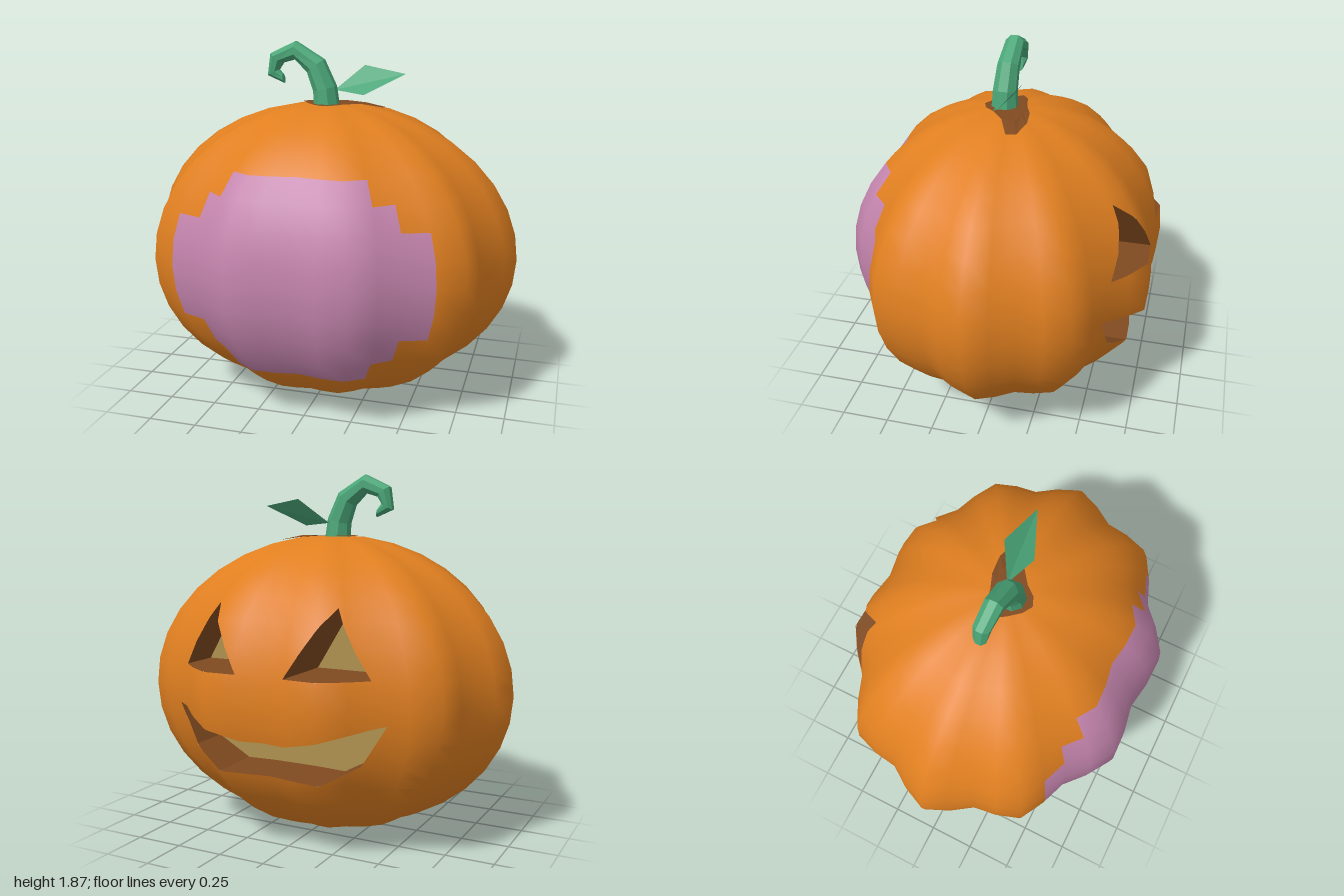
import * as THREE from 'three';

const mat = (name, color, opts = {}) => {
  const m = new THREE.MeshStandardMaterial({ color, ...opts });
  m.name = name;
  return m;
};

const LON = 40, LAT = 18, MID = 0.785;
// One horizontal cross-section: ten ridges, squashed front to back
const ring = Array.from({ length: LON }, (_, k) => {
  const r = [1, 0.957, 0.915, 0.957][k % 4], a = (k / LON) * Math.PI * 2;
  return [r * Math.cos(a), 0.83 * r * Math.sin(a)];
});
const elev = (i) => (i / LAT - 0.5) * Math.PI;
const ringY = (i) => (i === 0 ? 0.008 : i === LAT ? 1.56 : MID + MID * Math.sin(elev(i)));

// Height on the shell at a given distance from the axis (upper half)
const topY = (d) => (d < 0.174 ? 1.559 : 1.559 - (d - 0.174) * 0.21);

// z of the back of the shell at (x, y)
function backZ(x, y) {
  let i = 0;
  while (i < LAT - 1 && ringY(i + 1) < y) i++;
  const t = (y - ringY(i)) / (ringY(i + 1) - ringY(i));
  const s = THREE.MathUtils.lerp(Math.cos(elev(i)), Math.cos(elev(i + 1)), t);
  const X = x / s;
  for (let k = LON / 2; k < LON; k++) {
    const a = ring[k], b = ring[(k + 1) % LON];
    if (X >= a[0] && X <= b[0]) return s * THREE.MathUtils.lerp(a[1], b[1], (X - a[0]) / (b[0] - a[0]));
  }
  return 0;
}

// Remove a convex counter-clockwise xy outline from a polygon; returns the remaining pieces
function subtract(poly, hole) {
  const kept = [];
  for (let e = 0; e < hole.length && poly.length > 2; e++) {
    const [ax, ay] = hole[e], [bx, by] = hole[(e + 1) % hole.length];
    const side = (p) => (bx - ax) * (p[1] - ay) - (by - ay) * (p[0] - ax);
    const inside = [], outside = [];
    poly.forEach((p, n) => {
      const q = poly[(n + 1) % poly.length], sp = side(p), sq = side(q);
      (sp >= 0 ? inside : outside).push(p);
      if (sp >= 0 !== sq >= 0) {
        const m = p.map((v, c) => v + (q[c] - v) * (sp / (sp - sq)));
        inside.push(m);
        outside.push(m);
      }
    });
    if (outside.length > 2) kept.push(outside);
    poly = inside;
  }
  return kept;
}

// Triangle soup from polygons whose corners hold position and normal
function soup(polys) {
  const pos = [], nor = [];
  for (const p of polys)
    for (let n = 1; n < p.length - 1; n++)
      for (const v of [p[0], p[n], p[n + 1]]) {
        pos.push(...v.slice(0, 3));
        nor.push(...v.slice(3));
      }
  const g = new THREE.BufferGeometry();
  g.setAttribute('position', new THREE.Float32BufferAttribute(pos, 3));
  g.setAttribute('normal', new THREE.Float32BufferAttribute(nor, 3));
  return g;
}

// Flat-faced geometry from a list of corners, three per face
function faces(points) {
  const g = new THREE.BufferGeometry();
  g.setAttribute('position', new THREE.Float32BufferAttribute(points.flat(), 3));
  g.computeVertexNormals();
  return g;
}

export function createModel() {
  const group = new THREE.Group();
  const add = (name, geometry, material) => {
    const mesh = new THREE.Mesh(geometry, material);
    mesh.name = name;
    group.add(mesh);
  };
  const orange = mat('orange skin', 0xe07f20);
  const purple = mat('purple patch', 0xc585ae);
  const brown = mat('brown flesh', 0x804a20, { side: THREE.DoubleSide });
  const tan = mat('tan glow', 0xae914f, { side: THREE.DoubleSide });
  const green = mat('green stem', 0x4aa678, { flatShading: true, side: THREE.DoubleSide });

  // Carved openings: two triangular eyes and a mouth of convex strips [x, top, bottom]
  const eyes = [[[0.13, 0.93], [0.51, 0.93], [0.325, 1.25]], [[-0.51, 0.93], [-0.13, 0.93], [-0.325, 1.25]]];
  const half = [[0.12, 0.605, 0.425], [0.28, 0.64, 0.42], [0.46, 0.69, 0.52], [0.58, 0.72, 0.72]];
  const mouth = [...half.map(([x, t, b]) => [-x, t, b]).reverse(), ...half];
  const strips = mouth.slice(1).map((q, n) => {
    const p = mouth[n];
    return [[p[0], p[2]], [q[0], q[2]], [q[0], q[1]], [p[0], p[1]]]
      .filter((c, m, all) => m === 0 || c[0] !== all[m - 1][0] || c[1] !== all[m - 1][1])
      .filter((c, m, all) => m === 0 || c[0] !== all[0][0] || c[1] !== all[0][1]);
  });
  const holes = [...eyes, ...strips];

  // Ribbed shell with smooth normals
  const verts = [], index = [];
  for (let i = 0; i <= LAT; i++)
    for (const [x, z] of ring) {
      const s = i === 0 || i === LAT ? 0 : Math.cos(elev(i));
      verts.push(x * s, ringY(i), z * s);
    }
  const quad = (i, k) => {
    const k2 = (k + 1) % LON, a = i * LON + k, b = i * LON + k2, c = b + LON, d = a + LON;
    return i === 0 ? [[a, d, c]] : i === LAT - 1 ? [[a, d, b]] : [[a, d, c], [a, c, b]];
  };
  for (let i = 0; i < LAT; i++) for (let k = 0; k < LON; k++) index.push(...quad(i, k).flat());
  const shell = new THREE.BufferGeometry();
  shell.setAttribute('position', new THREE.Float32BufferAttribute(verts, 3));
  shell.setIndex(index);
  shell.computeVertexNormals();
  const P = shell.attributes.position, N = shell.attributes.normal;
  for (let k = 0; k < LON; k++) {
    N.setXYZ(k, 0, -1, 0);
    N.setXYZ(LAT * LON + k, 0, 1, 0);
  }
  const corner = (v) => [P.getX(v), P.getY(v), P.getZ(v), N.getX(v), N.getY(v), N.getZ(v)];

  // Sort shell faces into skin and stepped front patch, carving the back
  const skin = [], patch = [];
  for (let i = 0; i < LAT; i++)
    for (let k = 0; k < LON; k++) {
      const row = Math.floor(Math.abs(i + 0.5 - LAT / 2));
      const width = [5, 5, 4, 3][row] ?? 0;
      for (const tri of quad(i, k)) {
        let pieces = [tri.map(corner)];
        if (k >= LON / 2) for (const h of holes) pieces = pieces.flatMap((p) => subtract(p, h));
        (Math.abs(k + 0.5 - LON / 4) < width ? patch : skin).push(...pieces);
      }
    }
  add('pumpkinSkin', soup(skin), orange);
  add('frontPatch', soup(patch), purple);

  // Pocket walls and glowing floor behind each opening
  const DEPTH = -0.42;
  const mouthOutline = [...mouth.map(([x, , b]) => [x, b]), ...mouth.slice(1, -1).reverse().map(([x, t]) => [x, t])];
  [['rightEye', eyes[0]], ['leftEye', eyes[1]], ['mouth', mouthOutline]].forEach(([name, outline]) => {
    const walls = [];
    outline.forEach((a, n) => {
      const b = outline[(n + 1) % outline.length], STEPS = 16;
      const at = (t) => [a[0] + (b[0] - a[0]) * t, a[1] + (b[1] - a[1]) * t];
      for (let s = 0; s < STEPS; s++) {
        const p = at(s / STEPS), q = at((s + 1) / STEPS);
        const po = [...p, backZ(...p)], qo = [...q, backZ(...q)], pi = [...p, DEPTH], qi = [...q, DEPTH];
        walls.push(po, qo, qi, po, qi, pi);
      }
    });
    add(name + 'Walls', faces(walls), brown);
    const floor = new THREE.ShapeGeometry(new THREE.Shape(outline.map(([x, y]) => new THREE.Vector2(x, y))));
    add(name + 'Glow', floor.translate(0, 0, DEPTH), tan);
  });

  // Irregular brown scar draped around the stem
  const scar = [[-0.16, -0.03], [-0.12, -0.06], [-0.02, -0.08], [0.06, -0.11], [0.16, -0.12], [0.27, -0.09],
    [0.28, -0.04], [0.16, 0.01], [0.08, 0.07], [0.04, 0.12], [-0.01, 0.14], [-0.06, 0.11], [-0.11, 0.05]];
  const drape = ([x, z], t) => [x * t, topY(Math.hypot(x * t, z * t / 0.83)) + 0.006, z * t];
  const scarFaces = [];
  scar.forEach((a, n) => {
    const b = scar[(n + 1) % scar.length];
    [0, 0.62].forEach((t0, m) => {
      const t1 = [0.62, 1][m];
      scarFaces.push(drape(a, t0), drape(b, t1), drape(a, t1), drape(a, t0), drape(b, t0), drape(b, t1));
    });
  });
  add('stemScar', faces(scarFaces), brown);

  // Curling stem lofted from eight-sided rings: [x, y, z, radius, tilt]
  const path = [[-0.01, 1.54, 0.035, 0.07, 0], [-0.02, 1.64, 0.035, 0.064, 0.25], [-0.07, 1.755, 0.03, 0.058, 0.65],
    [-0.18, 1.832, 0.025, 0.05, 1.57], [-0.285, 1.79, 0.02, 0.044, 2.5], [-0.305, 1.715, 0.02, 0.036, 3.6],
    [-0.25, 1.685, 0.02, 0.025, 4.9]];
  const SIDES = 8, stemVerts = [], stemIndex = [];
  path.forEach(([x, y, z, r, tilt], i) => {
    for (let k = 0; k < SIDES; k++) {
      const a = ((k + 0.5) / SIDES) * Math.PI * 2, u = r * Math.cos(a);
      stemVerts.push(x + u * Math.cos(tilt), y + u * Math.sin(tilt), z + r * Math.sin(a));
      const p = i * SIDES + k, q = i * SIDES + ((k + 1) % SIDES);
      if (i < path.length - 1) stemIndex.push(p, p + SIDES, q + SIDES, p, q + SIDES, q);
      else if (k > 1) stemIndex.push(i * SIDES, p, p - 1);
    }
  });
  const stem = new THREE.BufferGeometry();
  stem.setAttribute('position', new THREE.Float32BufferAttribute(stemVerts, 3));
  stem.setIndex(stemIndex);
  stem.computeVertexNormals();
  add('stem', stem, green);

  // Diamond leaf folded along its middle
  const [base, back, tip, front] = [[0.02, 1.63, -0.01], [0.16, 1.755, -0.095], [0.39, 1.72, -0.035], [0.19, 1.615, 0.05]];
  add('leaf', faces([base, front, tip, base, tip, back]), green);

  return group;
}
